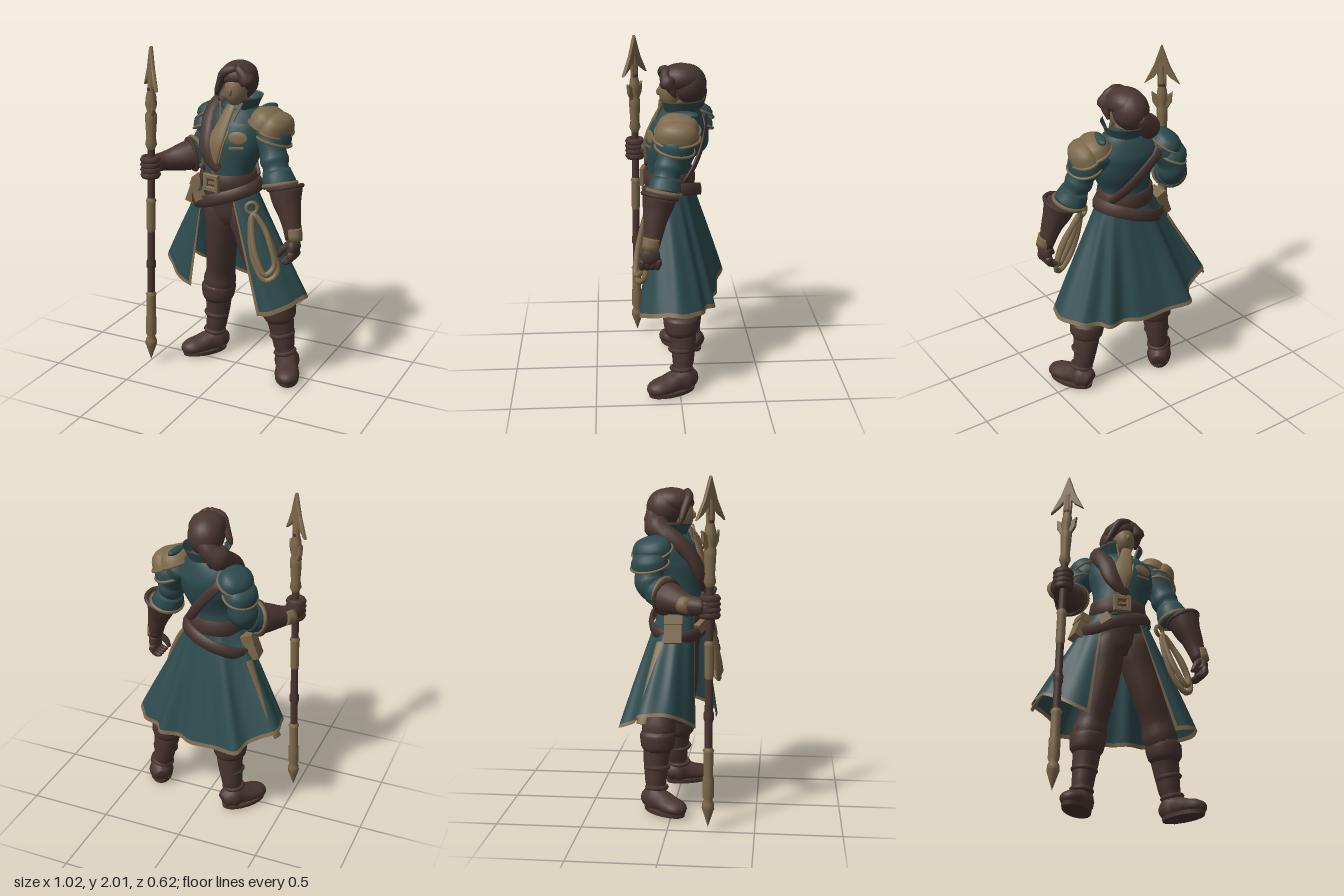
import * as THREE from 'three';

const mat = (name, color) => new THREE.MeshStandardMaterial({ name, color, side: THREE.DoubleSide });
const V = (x, y, z) => new THREE.Vector3(x, y, z);
const flatPoints = pts => pts.map(p => new THREE.Vector2(...p));
const UP = [0, 1, 0], FRONT = [0, 0, 1], CHEST = [-0.3, 0, 0.95];

// Smooth body swept through sections [x, y, z, sideRadius, frontRadius]
function loft(sections, front = FRONT, sides = 14, steps = 3) {
  const path = new THREE.CatmullRomCurve3(sections.map(s => V(s[0], s[1], s[2])));
  const radii = new THREE.CatmullRomCurve3(sections.map(s => V(s[3], s[4] ?? s[3], 0)));
  const n = (sections.length - 1) * steps, f = V(...front), pos = [], idx = [];
  for (let i = 0; i <= n; i++) {
    const p = path.getPoint(i / n), r = radii.getPoint(i / n), t = path.getTangent(i / n);
    const w = t.clone().cross(f).normalize(), d = w.clone().cross(t).normalize();
    for (let k = 0; k < sides; k++) {
      const a = k / sides * Math.PI * 2;
      const q = p.clone().addScaledVector(w, r.x * Math.cos(a)).addScaledVector(d, r.y * Math.sin(a));
      pos.push(q.x, q.y, q.z);
      if (i < n) {
        const A = i * sides + k, C = i * sides + (k + 1) % sides;
        idx.push(A, A + sides, C, A + sides, C + sides, C);
      }
    }
  }
  const c = pos.length / 3, last = n * sides;
  pos.push(...path.getPoint(0).toArray(), ...path.getPoint(1).toArray());
  for (let k = 0; k < sides; k++) {
    const m = (k + 1) % sides;
    idx.push(c, k, m, c + 1, last + m, last + k);
  }
  return geometry(pos, idx);
}

function geometry(pos, idx) {
  const g = new THREE.BufferGeometry();
  g.setAttribute('position', new THREE.Float32BufferAttribute(pos, 3));
  g.setIndex(idx);
  g.computeVertexNormals();
  return g;
}

export function createModel() {
  const model = new THREE.Group();
  model.name = 'spearBearer';
  const teal = mat('teal cloth', 0x2d4b4e), brown = mat('brown leather', 0x493630), tan = mat('tan', 0x7d694b);

  const add = (name, geo, m, p = [0, 0, 0], r = [0, 0, 0], s = [1, 1, 1], parent = model) => {
    const mesh = new THREE.Mesh(geo, m);
    mesh.name = name;
    mesh.position.set(...p); mesh.rotation.set(...r); mesh.scale.set(...s);
    parent.add(mesh);
    return mesh;
  };
  const ball = (name, m, p, s, r) => add(name, new THREE.SphereGeometry(1, 20, 14), m, p, r, s);
  const ring = (name, m, p, dir, radius, tube = 0.009) =>
    add(name, new THREE.TorusGeometry(radius, tube, 6, 24), m, p)
      .quaternion.setFromUnitVectors(V(0, 0, 1), V(...dir).normalize());
  // Square-shouldered armour cap with a rolled rim
  const capProfile = flatPoints([[1.03, 0], [1, 0.2], [0.95, 0.45], [0.83, 0.7], [0.6, 0.89], [0.3, 0.98], [0, 1]]);
  const dome = (name, m, p, s, r) => {
    const g = new THREE.Group();
    g.name = name; g.position.set(...p); g.rotation.set(...r); g.scale.set(...s);
    add(name + 'Shell', new THREE.LatheGeometry(capProfile, 24), m, [0, 0, 0], [0, 0, 0], [1, 1, 1], g);
    add(name + 'Rim', new THREE.TorusGeometry(1.03, 0.09, 6, 24), tan, [0, 0, 0], [Math.PI / 2, 0, 0], [1, 1, 1], g);
    model.add(g);
  };
  const tube = (name, pts, r, m, closed = false) => add(name,
    new THREE.TubeGeometry(new THREE.CatmullRomCurve3(pts.map(p => V(...p)), closed), 40, r, 7, closed), m);

  // Torso, shirt and chest details
  add('coatBody', loft([[-0.03, 1.17, 0.04, 0.15, 0.12], [-0.03, 1.23, 0.04, 0.152, 0.125], [-0.02, 1.32, 0.04, 0.16, 0.13],
    [0, 1.45, 0.02, 0.195, 0.155], [0, 1.55, -0.015, 0.2, 0.148], [0.01, 1.63, -0.03, 0.14, 0.11], [0.01, 1.68, -0.03, 0.07, 0.075]], CHEST, 24, 4), teal);
  add('trouserHips', loft([[-0.01, 0.94, 0.03, 0.07, 0.07], [-0.015, 1.0, 0.03, 0.125, 0.1], [-0.025, 1.1, 0.035, 0.14, 0.112], [-0.03, 1.2, 0.04, 0.145, 0.118]], FRONT, 20), brown);
  add('shirtFront', loft([[0.012, 1.67, 0.085, 0.03, 0.012], [-0.014, 1.58, 0.128, 0.04, 0.014], [-0.05, 1.46, 0.172, 0.055, 0.014],
    [-0.062, 1.37, 0.175, 0.042, 0.012], [-0.06, 1.28, 0.17, 0.015, 0.01]], CHEST), tan);
  ball('chestPatch', tan, [0.088, 1.5, 0.158], [0.056, 0.038, 0.009], [-0.15, 0.28, 0]);
  add('pocketFlap', new THREE.BoxGeometry(0.085, 0.012, 0.01), tan, [0.083, 1.445, 0.168], [0, 0.26, 0.05]);
  const gap = 0.55;
  add('collar', new THREE.CylinderGeometry(0.138, 0.085, 0.115, 28, 2, true, gap, Math.PI * 2 - gap * 2), teal, [0.012, 1.652, -0.022]);
  add('collarTrim', new THREE.CylinderGeometry(0.141, 0.136, 0.01, 28, 1, true, gap, Math.PI * 2 - gap * 2), tan, [0.012, 1.71, -0.022]);
  for (const s of [-1, 1]) tube('lapelTrim', [[0.015 + s * 0.07, 1.69, 0.092], [-0.005 + s * 0.045, 1.58, 0.12 + s * 0.01], [-0.045 + s * 0.055, 1.47, 0.165 + s * 0.012], [-0.06 + s * 0.02, 1.3, 0.172]], 0.007, tan);

  // Head and swept-back hair
  add('neck', new THREE.CylinderGeometry(0.05, 0.06, 0.14, 14), tan, [0.012, 1.66, -0.01]);
  ball('face', tan, [0.014, 1.755, 0.03], [0.066, 0.098, 0.076]);
  ball('nose', tan, [0.014, 1.75, 0.104], [0.01, 0.022, 0.014]);
  ball('backHair', brown, [0, 1.79, -0.062], [0.105, 0.115, 0.112]);
  ball('topHair', brown, [0.008, 1.828, -0.025], [0.105, 0.083, 0.124]);
  add('leftSideLock', loft([[0.035, 1.885, 0.06, 0.022], [0.08, 1.845, 0.068, 0.028], [0.1, 1.79, 0.04, 0.028], [0.1, 1.73, 0.01, 0.008]]), brown);
  add('rightSideLock', loft([[0.035, 1.885, 0.065, 0.022], [-0.035, 1.855, 0.08, 0.028], [-0.068, 1.8, 0.062, 0.024], [-0.1, 1.735, 0.045, 0.018], [-0.115, 1.71, 0.04, 0.006]]), brown);
  add('ponytail', loft([[0, 1.78, -0.12, 0.05], [-0.06, 1.71, -0.12, 0.06], [-0.11, 1.66, -0.07, 0.06], [-0.135, 1.61, 0.01, 0.055],
    [-0.13, 1.52, 0.105, 0.055, 0.038], [-0.11, 1.4, 0.16, 0.05, 0.03], [-0.03, 1.3, 0.175, 0.03, 0.015]], [-0.4, 0.4, 0.8]), brown);
  add('shoulderStrapBack', loft([[-0.15, 1.63, -0.04, 0.03, 0.012], [-0.13, 1.56, -0.165, 0.03, 0.012], [-0.02, 1.43, -0.155, 0.03, 0.012],
    [0.06, 1.32, -0.105, 0.03, 0.012], [0.12, 1.23, -0.04, 0.03, 0.012]], [0.2, 0, -1]), brown);

  // Shoulder plates
  dome('leftPauldronUpper', tan, [0.205, 1.565, 0.005], [0.1, 0.098, 0.122], [0, -0.2, -0.4]);
  dome('leftPauldronLower', tan, [0.262, 1.535, 0.012], [0.085, 0.105, 0.125], [0, -0.2, -0.38]);
  ball('leftPauldronInset', teal, [0.195, 1.652, -0.035], [0.03, 0.022, 0.08], [0, -0.2, -0.3]);
  dome('leftSleeveCap', teal, [0.255, 1.475, 0.025], [0.095, 0.1, 0.108], [-0.2, -0.2, -0.25]);
  dome('rightSleeveCapUpper', teal, [-0.2, 1.56, -0.115], [0.095, 0.075, 0.115], [-0.1, -0.25, 0.5]);
  dome('rightSleeveCapLower', teal, [-0.235, 1.48, -0.125], [0.092, 0.085, 0.108], [-0.1, -0.25, 0.35]);

  // Left arm hanging forward
  add('leftSleeve', loft([[0.17, 1.57, -0.01, 0.09], [0.23, 1.49, 0.02, 0.092], [0.262, 1.41, 0.05, 0.077], [0.275, 1.37, 0.06, 0.085],
    [0.29, 1.33, 0.072, 0.074], [0.3, 1.3, 0.08, 0.082], [0.32, 1.25, 0.09, 0.078]]), teal);
  add('leftSleeveCuff', loft([[0.295, 1.32, 0.075, 0.08], [0.312, 1.265, 0.085, 0.095], [0.325, 1.235, 0.09, 0.098]]), teal);
  ring('leftCuffTrim', tan, [0.325, 1.24, 0.09], [0.25, -0.95, 0.2], 0.094, 0.014);
  add('leftGauntlet', loft([[0.37, 1.24, 0.115, 0.1], [0.385, 1.17, 0.13, 0.086], [0.41, 1.1, 0.145, 0.068], [0.43, 1.03, 0.155, 0.055], [0.448, 0.95, 0.17, 0.045]]), brown);
  ring('leftGauntletRim', brown, [0.37, 1.235, 0.115], [0.25, -0.9, 0.2], 0.097, 0.014);
  add('leftBracer', loft([[0.45, 1.015, 0.165, 0.044, 0.05], [0.465, 0.945, 0.178, 0.04, 0.048]]), tan);
  add('leftPalm', loft([[0.445, 0.95, 0.17, 0.035, 0.045], [0.455, 0.91, 0.175, 0.036, 0.058], [0.445, 0.87, 0.18, 0.03, 0.052]]), brown);
  for (let i = 0; i < 4; i++) {
    const z = 0.132 + i * 0.029;
    add('leftFinger', loft([[0.455, 0.89, z, 0.019], [0.45, 0.845, z + 0.002, 0.019], [0.42, 0.825, z + 0.004, 0.017], [0.395, 0.83, z, 0.01]], FRONT, 8), brown);
  }
  add('leftThumb', loft([[0.435, 0.93, 0.2, 0.022], [0.4, 0.895, 0.215, 0.02], [0.375, 0.85, 0.215, 0.012]], FRONT, 8), brown);

  // Right arm reaching to the spear
  add('rightSleeve', loft([[-0.15, 1.57, -0.09, 0.09], [-0.215, 1.5, -0.12, 0.092], [-0.242, 1.43, -0.13, 0.08], [-0.25, 1.39, -0.125, 0.088], [-0.265, 1.35, -0.1, 0.08], [-0.29, 1.32, -0.04, 0.075]], [1, 0, 0.3]), teal);
  add('rightSleeveCuff', loft([[-0.262, 1.345, -0.1, 0.082], [-0.285, 1.33, -0.055, 0.092], [-0.295, 1.325, -0.035, 0.095]], UP), teal);
  ring('rightCuffTrim', tan, [-0.293, 1.325, -0.04], [-0.5, -0.15, 0.85], 0.093, 0.013);
  add('rightGauntlet', loft([[-0.305, 1.31, -0.025, 0.1, 0.095], [-0.35, 1.3, 0.025, 0.088, 0.084], [-0.4, 1.29, 0.08, 0.066], [-0.435, 1.285, 0.13, 0.055], [-0.453, 1.28, 0.21, 0.05]], UP), brown);
  ring('rightGauntletRim', brown, [-0.31, 1.31, -0.02], [-0.65, -0.15, 0.7], 0.096, 0.013);
  add('rightBracer', loft([[-0.432, 1.29, 0.075, 0.05, 0.048], [-0.468, 1.285, 0.125, 0.044, 0.045]], UP), tan);
  ball('rightFist', brown, [-0.45, 1.28, 0.225], [0.056, 0.066, 0.052]);
  for (let i = 0; i < 4; i++) ring('rightFinger', brown, [-0.448, 1.235 + i * 0.031, 0.235], UP, 0.04, 0.022);

  // Legs, folded boots and feet
  const leg = (side, thigh, boot, yaw) => {
    add(side + 'TrouserLeg', loft(thigh), brown);
    add(side + 'Boot', loft(boot), brown);
    const [kx, ky, kz] = boot[0], [ax, , az] = boot[boot.length - 1], dx = ax - kx;
    add(side + 'BootCuff', loft([[kx, ky + 0.06, kz, 0.09], [kx, ky + 0.03, kz, 0.108], [kx + dx * 0.15, ky - 0.04, kz, 0.1], [kx + dx * 0.2, ky - 0.07, kz, 0.08]]), brown);
    for (const [t, r] of [[0.45, 0.066], [0.78, 0.058]])
      ring(side + 'BootStrap', brown, [kx + dx * t, ky - (ky - 0.06) * t, kz + (az - kz) * t], [dx, -0.35, 0], r, 0.014);
    const foot = new THREE.Group();
    foot.name = side + 'Foot'; foot.position.set(ax, 0, az); foot.rotation.y = yaw;
    add(side + 'Shoe', loft([[0, 0.055, -0.085, 0.045, 0.045], [0, 0.07, -0.045, 0.066, 0.066], [0, 0.07, 0.03, 0.066, 0.066], [0, 0.056, 0.1, 0.072, 0.054], [0, 0.05, 0.16, 0.07, 0.046], [0, 0.042, 0.2, 0.05, 0.034], [0, 0.036, 0.22, 0.02, 0.014]], UP), brown, [0, 0, 0], [0, 0, 0], [1, 1, 1], foot);
    add(side + 'Sole', new THREE.CylinderGeometry(1, 0.97, 0.024, 20), brown, [0, 0.012, 0.065], [0, 0, 0], [0.076, 1, 0.152], foot);
    model.add(foot);
  };
  leg('left', [[0.06, 1.08, 0.03, 0.1], [0.1, 0.92, 0.03, 0.1], [0.17, 0.72, 0.03, 0.092], [0.225, 0.58, 0.01, 0.088], [0.255, 0.49, 0, 0.102], [0.28, 0.4, -0.01, 0.08]],
    [[0.28, 0.41, -0.01, 0.088], [0.3, 0.3, -0.02, 0.078], [0.32, 0.17, -0.02, 0.064], [0.345, 0.06, -0.01, 0.064]], 0.42);
  leg('right', [[-0.08, 1.08, 0.02, 0.1], [-0.09, 0.92, 0.01, 0.1], [-0.115, 0.72, -0.03, 0.092], [-0.14, 0.58, -0.07, 0.09], [-0.155, 0.5, -0.085, 0.102], [-0.165, 0.41, -0.09, 0.08]],
    [[-0.165, 0.43, -0.09, 0.088], [-0.175, 0.3, -0.1, 0.076], [-0.19, 0.17, -0.1, 0.064], [-0.205, 0.06, -0.095, 0.064]], -0.65);

  // Coat skirt: grid from waist to hem, open in front, with trimmed edges
  const hem = new THREE.CatmullRomCurve3([[0.25, 0.455, 0.23], [0.34, 0.475, 0.23], [0.47, 0.53, 0.06], [0.46, 0.52, -0.04], [0.385, 0.51, -0.135],
    [0.3, 0.5, -0.16], [0.25, 0.49, -0.215], [0.13, 0.485, -0.2], [0.02, 0.485, -0.25], [-0.12, 0.5, -0.26], [-0.21, 0.52, -0.3], [-0.3, 0.53, -0.3],
    [-0.34, 0.57, -0.21], [-0.48, 0.64, -0.17], [-0.48, 0.65, -0.01], [-0.4, 0.6, 0.08], [-0.32, 0.55, 0.13], [-0.24, 0.52, 0.14]].map(p => V(...p)));
  const U = 100, R = 30, pos = [], cloth = [], trim = [];
  for (let i = 0; i <= U; i++) {
    const u = i / U, a = 0.4 + u * (Math.PI * 2 - 1.25), h = hem.getPointAt(u);
    const w = V(-0.03 + 0.158 * Math.sin(a), 1.22, 0.04 + 0.128 * Math.cos(a));
    for (let j = 0; j <= R; j++) {
      const v = j / R, fold = 1 + 0.022 * Math.sin(u * 75) * Math.sin(v * 2.6) * Math.min(1, u * 6, (1 - u) * 6);
      const p = w.clone().lerp(h, v);
      pos.push(p.x * fold, p.y, p.z * fold);
      if (i < U && j < R) {
        const A = i * (R + 1) + j, B = A + R + 1;
        (j >= R - 1 || i < 1 || i >= U - 1 ? trim : cloth).push(A, A + 1, B, B, A + 1, B + 1);
      }
    }
  }
  const skirt = geometry(pos, [...cloth, ...trim]);
  skirt.addGroup(0, cloth.length, 0);
  skirt.addGroup(cloth.length, trim.length, 1);
  add('coatSkirt', skirt, [teal, tan]);

  // Belts, buckle and hip gear
  const band = h => new THREE.LatheGeometry(flatPoints([[0.93, -h], [1.02, -h], [1.06, 0], [1.02, h], [0.93, h]]), 36);
  add('waistBelt', band(0.047), brown, [-0.03, 1.225, 0.04], [0, 0, 0], [0.167, 1, 0.145]);
  add('hipBelt', band(0.036), brown, [-0.045, 1.13, 0.025], [0.05, 0, 0.32], [0.222, 1, 0.17]);
  const frame = new THREE.Shape(flatPoints([[-0.05, -0.048], [0.05, -0.048], [0.05, 0.048], [-0.05, 0.048]]));
  frame.holes.push(new THREE.Path(flatPoints([[-0.03, -0.028], [-0.03, 0.028], [0.03, 0.028], [0.03, -0.028]])));
  add('beltBuckle', new THREE.ExtrudeGeometry(frame, { depth: 0.018, bevelSize: 0.004, bevelThickness: 0.004, bevelSegments: 1 }), tan, [-0.062, 1.225, 0.188], [0, -0.2, 0]);
  add('buckleTongue', new THREE.BoxGeometry(0.045, 0.014, 0.014), tan, [-0.06, 1.225, 0.2], [0, -0.2, 0]);
  add('hipPouch', new THREE.BoxGeometry(0.065, 0.15, 0.1), tan, [-0.262, 1.105, 0.01], [0, 0.1, -0.35]);
  add('hipPouchFlap', new THREE.BoxGeometry(0.074, 0.05, 0.108), tan, [-0.243, 1.16, 0.01], [0, 0.1, -0.35]);
  add('smallPouch', new THREE.BoxGeometry(0.07, 0.055, 0.04), tan, [-0.16, 1.12, 0.165], [0, -0.6, 0.5]);
  add('hangingStrap', loft([[-0.27, 1.04, -0.06, 0.028, 0.01], [-0.38, 0.83, -0.105, 0.03, 0.01], [-0.492, 0.61, -0.145, 0.032, 0.01]], [-1, 0, -0.3], 8), tan);
  ring('ropeRing', tan, [0.185, 1.1, 0.17], [0.5, 0.1, 1], 0.032, 0.012);
  for (let i = 0; i < 2; i++) {
    const d = i * 0.04, o = i * 0.01;
    tube('ropeCoil', [[0.2, 1.07, 0.185], [0.2 + d * 0.5, 0.92, 0.218 + o], [0.245 + d * 0.4, 0.77 + d, 0.24 + o], [0.31, 0.695 + d, 0.242 + o],
      [0.365 - d * 0.4, 0.74 + d, 0.205 + o], [0.335 - d * 0.4, 0.86 + d, 0.19 + o], [0.265, 1.0, 0.18]], 0.017, tan, true);
  }

  // Spear: turned shaft pieces and a barbed flat head
  const spear = new THREE.Group();
  spear.name = 'spear'; spear.position.set(-0.482, 0.01, 0.233); spear.rotation.z = -0.029;
  model.add(spear);
  const turned = (name, m, pts) => add(name, new THREE.LatheGeometry(flatPoints(pts), 12), m, [0, 0, 0], [0, 0, 0], [1, 1, 1], spear);
  turned('spearShaft', brown, [[0.021, 0.14], [0.023, 0.62], [0.029, 0.63], [0.029, 0.67], [0.023, 0.68], [0.022, 1.75]]);
  turned('spearFoot', tan, [[0, 0], [0.036, 0.11], [0.034, 0.14], [0.024, 0.16], [0.033, 0.18], [0.033, 0.29], [0.028, 0.3], [0.028, 0.44], [0.034, 0.45], [0.021, 0.47]]);
  turned('spearMidSleeve', tan, [[0.022, 0.86], [0.027, 0.88], [0.027, 1.05], [0.032, 1.06], [0.022, 1.08]]);
  turned('spearNeck', tan, [[0.022, 1.38], [0.035, 1.41], [0.028, 1.45], [0.034, 1.55], [0.034, 1.59], [0.024, 1.61], [0.035, 1.65], [0.03, 1.7], [0.02, 1.74], [0.018, 1.86]]);
  const blade = (name, half) => {
    const outline = [...half, ...half.slice().reverse().map(([x, y]) => [-x, y])];
    const g = new THREE.ExtrudeGeometry(new THREE.Shape(flatPoints(outline)), { depth: 0.01, bevelSize: 0.004, bevelThickness: 0.006, bevelSegments: 1 });
    add(name, g.translate(0, 0, -0.005), tan, [0, 0, 0], [0, -0.74, 0], [1, 1, 1], spear);
  };
  blade('spearBlade', [[0.001, 1.985], [0.045, 1.86], [0.104, 1.75], [0.05, 1.79], [0.026, 1.82], [0.022, 1.73]]);
  blade('spearLugs', [[0.02, 1.66], [0.062, 1.69], [0.055, 1.63], [0.03, 1.59]]);
  return model;
}
